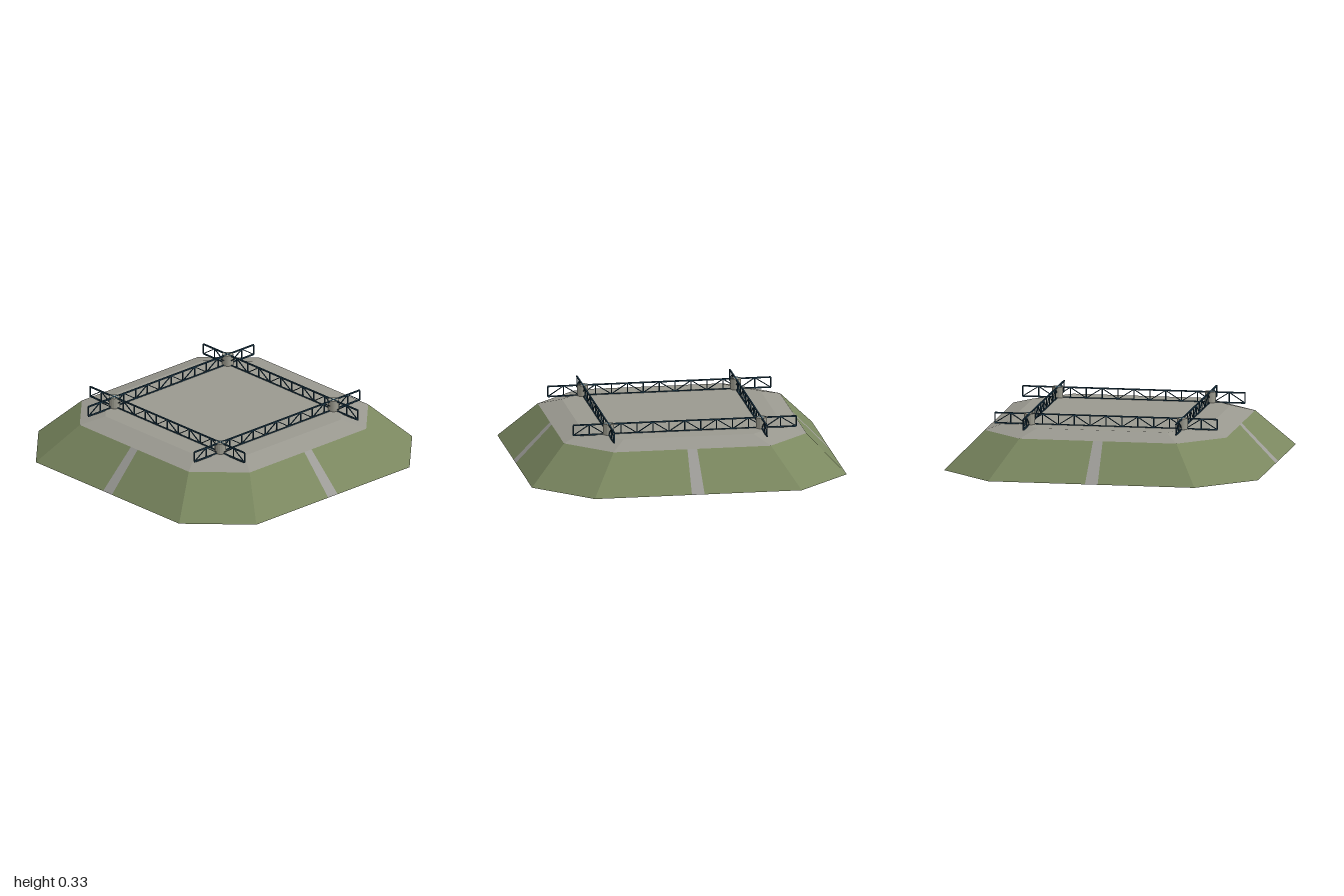
import * as THREE from 'three';
import { mergeGeometries } from 'three/addons/utils/BufferGeometryUtils.js';

const material = (name, color, side = THREE.FrontSide) =>
  new THREE.MeshStandardMaterial({ name, color, side, flatShading: true });

// Octagon rings: height y, distance h to the long sides, half length s of them, half width p of the path
const BASE = { y: 0, h: 0.94, s: 0.618, p: 0.038 };
const SHOULDER = { y: 0.222, h: 0.724, s: 0.47, p: 0.029 };
const DECK = { y: 0.264, h: 0.593, s: 0.388 };

const POST = 0.457;       // half spacing of the corner posts
const TRUSS_HALF = 0.666; // half length of a truss
const TRUSS_LOW = 0.265;
const TRUSS_HIGH = 0.326;
const PANELS = 14;

// Quads given as [bottom left, bottom right, top right, top left], seen from outside
function quads(list) {
  const positions = [];
  for (const [a, b, c, d] of list) positions.push(...a, ...b, ...c, ...a, ...c, ...d);
  const g = new THREE.BufferGeometry();
  g.setAttribute('position', new THREE.Float32BufferAttribute(positions, 3));
  g.computeVertexNormals();
  return g;
}

// Part of the front slope between two rings, from edge x(ring) to edge x(ring)
const frontStrip = (lo, hi, x0, x1) => [
  [x0(lo), lo.y, lo.h], [x1(lo), lo.y, lo.h], [x1(hi), hi.y, hi.h], [x0(hi), hi.y, hi.h],
];

// Chamfered corner between two rings
const cornerStrip = (lo, hi) => [
  [lo.s, lo.y, lo.h], [lo.h, lo.y, lo.s], [hi.h, hi.y, hi.s], [hi.s, hi.y, hi.h],
];

// Thin square bar between two points in the XY plane
function bar(x0, y0, x1, y1, t) {
  const g = new THREE.BoxGeometry(Math.hypot(x1 - x0, y1 - y0), t, t);
  g.rotateZ(Math.atan2(y1 - y0, x1 - x0));
  g.translate((x0 + x1) / 2, (y0 + y1) / 2, 0);
  return g;
}

// Flat truss: two chords, verticals and zigzag diagonals
function trussGeometry() {
  const parts = [
    bar(-TRUSS_HALF, TRUSS_LOW, TRUSS_HALF, TRUSS_LOW, 0.008),
    bar(-TRUSS_HALF, TRUSS_HIGH, TRUSS_HALF, TRUSS_HIGH, 0.008),
  ];
  const step = (2 * TRUSS_HALF) / PANELS;
  for (let i = 0; i <= PANELS; i++) {
    const x = -TRUSS_HALF + i * step;
    parts.push(bar(x, TRUSS_LOW, x, TRUSS_HIGH, 0.006));
    if (i === PANELS) break;
    const [ya, yb] = i % 2 ? [TRUSS_HIGH, TRUSS_LOW] : [TRUSS_LOW, TRUSS_HIGH];
    parts.push(bar(x, ya, x + step, yb, 0.005));
  }
  return mergeGeometries(parts);
}

export function createModel() {
  const grass = material('grass green', 0x7b8860, THREE.DoubleSide);
  const concrete = material('concrete grey', 0x99988f, THREE.DoubleSide);
  const path = material('path grey', 0x9d9c98, THREE.DoubleSide);
  const postGrey = material('post grey', 0x9c9b8f);
  const steel = material('steel blue', 0x1c3a4c);

  const model = new THREE.Group();
  model.name = 'platformOnMound';

  const add = (parent, name, geometry, mat) => {
    const mesh = new THREE.Mesh(geometry, mat);
    mesh.name = name;
    parent.add(mesh);
    return mesh;
  };

  // Geometries shared by all four sides
  const grassGeo = quads([
    frontStrip(BASE, SHOULDER, r => -r.s, r => -r.p),
    frontStrip(BASE, SHOULDER, r => r.p, r => r.s),
    cornerStrip(BASE, SHOULDER),
  ]);
  const pathGeo = quads([frontStrip(BASE, SHOULDER, r => -r.p, r => r.p)]);
  const rimGeo = quads([
    frontStrip(SHOULDER, DECK, r => -r.s, r => r.s),
    cornerStrip(SHOULDER, DECK),
  ]);
  const trussGeo = trussGeometry();
  const postGeo = new THREE.CylinderGeometry(0.033, 0.033, 0.329, 16);
  postGeo.translate(0, 0.1645, 0);

  // Each side: slope, path, rim, truss and one corner post
  for (let i = 0; i < 4; i++) {
    const side = new THREE.Group();
    side.name = `side${i + 1}`;
    side.rotation.y = (i * Math.PI) / 2;
    add(side, 'grassSlope', grassGeo, grass);
    add(side, 'slopePath', pathGeo, path);
    add(side, 'concreteRim', rimGeo, concrete);
    add(side, 'truss', trussGeo, steel).position.z = POST;
    add(side, 'cornerPost', postGeo, postGrey).position.set(POST, 0, POST);
    model.add(side);
  }

  // Flat octagonal deck
  const { h, s, y } = DECK;
  const outline = [[-s, -h], [s, -h], [h, -s], [h, s], [s, h], [-s, h], [-h, s], [-h, -s]];
  const deckGeo = new THREE.ShapeGeometry(new THREE.Shape(outline.map(p => new THREE.Vector2(...p))));
  deckGeo.rotateX(-Math.PI / 2);
  add(model, 'deck', deckGeo, concrete).position.y = y;

  // The whole platform sits slightly turned
  model.rotation.y = -0.105;
  const root = new THREE.Group();
  root.name = 'trussPlatform';
  root.add(model);
  return root;
}
